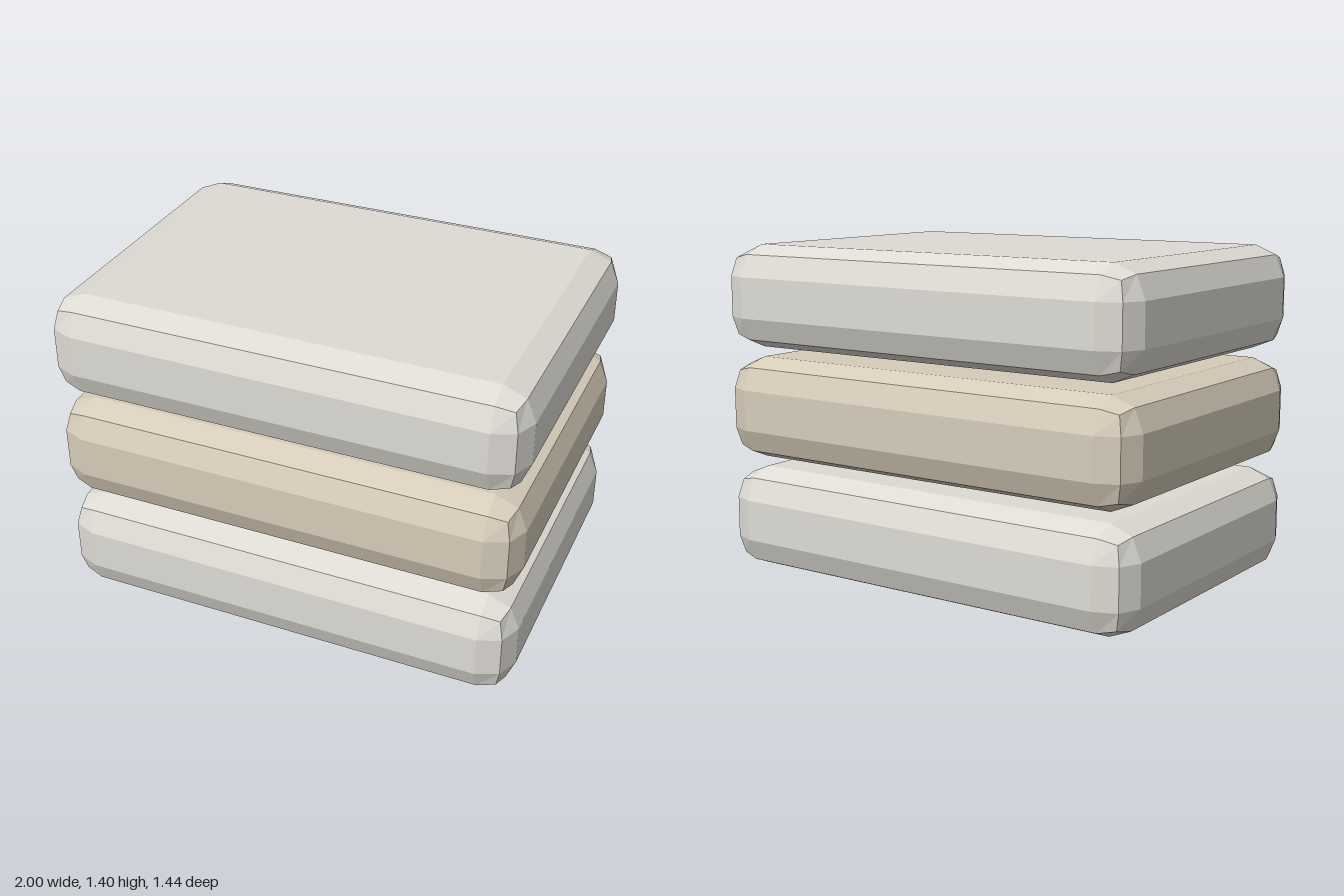
import * as THREE from 'three';
import { RoundedBoxGeometry } from 'three/addons/geometries/RoundedBoxGeometry.js';

const WIDTH = 2, HEIGHT = 0.438, DEPTH = 1.436, BEVEL = 0.132, STEP = 0.481;

export function createModel() {
  const model = new THREE.Group();
  model.name = 'slabStack';

  // One faceted slab shape with two-step bevels, shared by all layers
  const slab = new RoundedBoxGeometry(WIDTH, HEIGHT, DEPTH, 1, BEVEL);
  const stone = new THREE.MeshStandardMaterial({ color: 0xdedbd4, flatShading: true });
  const sand = new THREE.MeshStandardMaterial({ color: 0xd6ccb9, flatShading: true });

  // Layers from the ground up, with a narrow gap between them
  const layers = [['bottomSlab', stone], ['middleSlab', sand], ['topSlab', stone]];
  layers.forEach(([name, material], i) => {
    const mesh = new THREE.Mesh(slab, material);
    mesh.name = name;
    mesh.position.y = HEIGHT / 2 + i * STEP;
    model.add(mesh);
  });

  return model;
}
